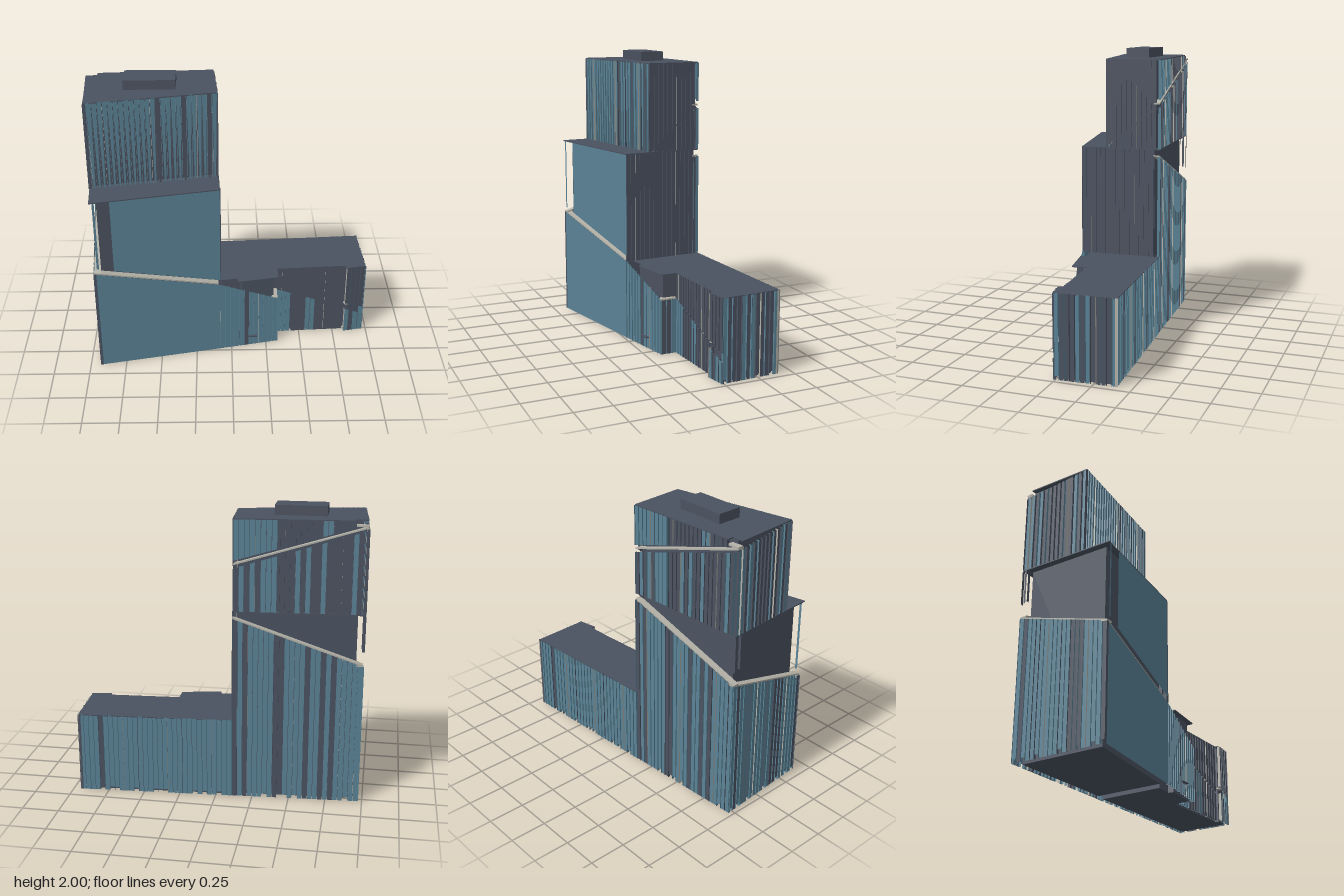
import * as THREE from 'three';

const mats = {
  dark: new THREE.MeshStandardMaterial({ color: 0x4b5260, flatShading: true, side: THREE.DoubleSide }),
  teal: new THREE.MeshStandardMaterial({ color: 0x5a8295, flatShading: true, side: THREE.DoubleSide }),
  light: new THREE.MeshStandardMaterial({ color: 0xb4b2a8, flatShading: true, side: THREE.DoubleSide }),
};

// Plan outlines as [x, z], running back left, back right, front right, front left
const tower = [[-0.97, -0.28], [-0.11, -0.332], [-0.08, 0.23], [-0.925, 0.4]];
const upper = [[-0.97, -0.28], [-0.115, -0.332], [-0.092, 0.05], [-0.935, 0.21]];
const podium = [[-0.11, -0.335], [0.945, -0.4], [0.965, 0.01], [0.83, 0.035], [0.82, 0.005],
  [0.33, 0.035], [0.33, 0.145], [0.05, 0.195], [0.04, 0.155], [-0.085, 0.175]];
const upperRoof = [[-0.89, -0.285], ...upper.slice(1), [-0.967, -0.245], [-0.89, -0.245]];

const mix = (a, b, t) => a + (b - a) * t;

function normal(a, b) {
  const dx = b[0] - a[0], dz = b[1] - a[1], l = Math.hypot(dx, dz);
  return [dz / l, -dx / l];
}

// Shrinks an outline by d with mitred corners
function inset(poly, d) {
  return poly.map((p, i) => {
    const m = normal(poly[(i + poly.length - 1) % poly.length], p);
    const n = normal(p, poly[(i + 1) % poly.length]);
    const k = d / (1 + m[0] * n[0] + m[1] * n[1]);
    return [p[0] - (m[0] + n[0]) * k, p[1] - (m[1] + n[1]) * k];
  });
}

// Solid with the given outline between two heights
function prism(name, poly, y0, y1) {
  const shape = new THREE.Shape(poly.map(([x, z]) => new THREE.Vector2(x, -z)));
  const geo = new THREE.ExtrudeGeometry(shape, { depth: y1 - y0, bevelEnabled: false });
  geo.rotateX(-Math.PI / 2).translate(0, y0, 0);
  const mesh = new THREE.Mesh(geo, mats.dark);
  mesh.name = name;
  return mesh;
}

function quadMesh(name, quads, mat) {
  const pos = [];
  for (const [a, b, c, d] of quads) pos.push(...a, ...b, ...c, ...a, ...c, ...d);
  const geo = new THREE.BufferGeometry();
  geo.setAttribute('position', new THREE.Float32BufferAttribute(pos, 3));
  geo.computeVertexNormals();
  const mesh = new THREE.Mesh(geo, mat);
  mesh.name = name;
  return mesh;
}

let seed = 7;
const rand = () => (seed = (seed * 16807) % 2147483647) / 2147483647;

// Facade from a to b: panels between sloping bottom and top lines, with upright fins.
// teal = share of coloured panels, fill = panel width share, taper = width left at the foot
function facade(name, a, b, bottom, top, o = {}) {
  const { teal = 0.75, fill = 0.9, taper = 1, fins = true, ragged = 0, from = 0, to = 1 } = o;
  const g = new THREE.Group();
  g.name = name;
  const n = normal(a, b);
  const at = (t, y, out = 0) => [mix(a[0], b[0], t) + n[0] * out, y, mix(a[1], b[1], t) + n[1] * out];
  const lo = t => mix(bottom[0], bottom[1], t), hi = t => mix(top[0], top[1], t);
  const count = Math.max(1, Math.round(Math.hypot(b[0] - a[0], b[1] - a[1]) * (to - from) / 0.034));
  const step = (to - from) / count, w = step * fill, f = w * taper;
  const panels = { teal: [], dark: [] }, blades = { teal: [], dark: [], light: [] };
  for (let i = 0; i <= count; i++) {
    const t = from + step * i, c = t + step / 2;
    if (fins) {
      const kind = i % 9 === 4 ? 'light' : rand() < teal ? 'teal' : 'dark';
      blades[kind].push([at(t, lo(t), -0.014), at(t, lo(t), 0.006), at(t, hi(t), 0.006), at(t, hi(t), -0.014)]);
    }
    if (i === count) break;
    const foot = rand() < 0.3 ? ragged : 0;
    panels[rand() < teal ? 'teal' : 'dark'].push([at(c - f / 2, lo(c - f / 2) + foot),
      at(c + f / 2, lo(c + f / 2) + foot), at(c + w / 2, hi(c + w / 2)), at(c - w / 2, hi(c - w / 2))]);
  }
  for (const k in panels) if (panels[k].length) g.add(quadMesh(name + 'Panels', panels[k], mats[k]));
  for (const k in blades) if (blades[k].length) g.add(quadMesh(name + 'Fins', blades[k], mats[k]));
  return g;
}

// Narrow pale ledge following a seam, tucked inside the facade line
function ledge(name, a, b, ya, yb) {
  const n = normal(a, b);
  const ring = (p, y) => [[-0.045, -0.005], [-0.002, -0.005], [-0.002, 0.005], [-0.045, 0.005]]
    .map(([o, h]) => [p[0] + n[0] * o, y + h, p[1] + n[1] * o]);
  const r = ring(a, ya), s = ring(b, yb);
  const quads = r.map((p, i) => [p, s[i], s[(i + 1) % 4], r[(i + 1) % 4]]);
  return quadMesh(name, [...quads, r, s], mats.light);
}

function box(name, size, position, mat) {
  const mesh = new THREE.Mesh(new THREE.BoxGeometry(...size), mat);
  mesh.name = name;
  mesh.position.set(...position);
  return mesh;
}

export function createModel() {
  const model = new THREE.Group();
  model.name = 'towerBlock';
  const [tBL, tBR, tFR, tFL] = tower;
  const [uBL, uBR, uFR, uFL] = upper;

  // Dark inner bodies, roof slabs and small boxes
  model.add(
    prism('lowerCore', inset(tower, 0.045), 0, 1.315),
    prism('terraceSlab', tower, 1.315, 1.322),
    prism('upperCore', inset(upper, 0.035), 1.322, 1.928),
    prism('upperRoof', upperRoof, 1.928, 1.935),
    prism('podiumCore', inset(podium, 0.03), 0, 0.553),
    prism('podiumRoof', podium, 0.553, 0.56),
    box('roofPlantBox', [0.34, 0.065, 0.17], [-0.53, 1.9675, -0.085], mats.dark),
    box('cornerLedge', [0.08, 0.012, 0.04], [-0.93, 1.9, -0.265], mats.light),
    box('entranceCanopy', [0.07, 0.008, 0.03], [0.15, 0.08, 0.185], mats.dark),
  );

  // Lower tower facades, cut off by a sloping seam
  const smooth = { teal: 1, fill: 1, fins: false };
  model.add(
    facade('lowerFront', tFR, tFL, [0, 0], [0.56, 0.77], smooth),
    facade('lowerBack', tBL, tBR, [0, 0], [0.97, 1.27], { teal: 0.85, ragged: 0.025 }),
    facade('lowerLeftSide', tFL, tBL, [0, 0], [0.77, 0.97], { teal: 0.8, ragged: 0.025 }),
    ledge('frontLedge', tFR, tFL, 0.565, 0.775),
    ledge('backLedge', tBL, tBR, 0.975, 1.275),
    ledge('sideLedge', tFL, tBL, 0.775, 0.975),
  );

  // Middle facades above the seam
  const wall = { teal: 0, fill: 1, from: 0.07 };
  model.add(
    facade('middleFront', tFR, tFL, [0.6, 0.815], [1.315, 1.315], { ...smooth, to: 0.845 }),
    facade('middleFrontEdge', tFR, tFL, [0.6, 0.815], [1.315, 1.315], { ...smooth, fill: 0.5, from: 0.95, to: 0.985 }),
    facade('middleRightSide', tBR, tFR, [0.56, 0.56], [1.315, 1.315], wall),
    facade('middleCornerFins', tFL, tBL, [1.2, 1.07], [1.315, 1.315], { teal: 0.6, fill: 0.3, from: 0.93 }),
  );

  // Upper facades, split by a second seam at the back and right
  model.add(
    facade('upperFront', uFR, uFL, [1.322, 1.322], [1.935, 1.935], { teal: 0.8, taper: 0.35, to: 0.98 }),
    facade('upperLeftSide', uFL, uBL, [1.322, 1.322], [1.928, 1.88], { teal: 0.5, fill: 0.6 }),
    facade('upperBackNear', uBL, uBR, [1.322, 1.322], [1.87, 1.61], { teal: 0.2, from: 0.03, to: 0.65 }),
    facade('upperBackFar', uBL, uBR, [1.322, 1.322], [1.87, 1.61], { teal: 0.8, from: 0.67 }),
    facade('upperBackTopNear', uBL, uBR, [1.91, 1.66], [1.93, 1.93], { teal: 0.2, from: 0.1, to: 0.65 }),
    facade('upperBackTopFar', uBL, uBR, [1.91, 1.66], [1.93, 1.93], { teal: 0.8, from: 0.67 }),
    facade('upperRightSide', uBR, uFR, [1.322, 1.322], [1.62, 1.322], { ...wall, to: 0.9 }),
    facade('upperRightTop', uBR, uFR, [1.64, 1.33], [1.93, 1.93], wall),
    ledge('upperBackLedge', uBL, uBR, 1.89, 1.635),
  );

  // Podium facades, stepping down along the front
  const p = podium;
  model.add(
    facade('podiumBack', p[0], p[1], [0, 0], [0.56, 0.56], { teal: 0.85, ragged: 0.025 }),
    facade('podiumRightSide', p[1], p[2], [0, 0], [0.56, 0.56], { teal: 0.3, fill: 0.7, ragged: 0.025 }),
    facade('podiumBump', p[2], p[3], [0, 0], [0.14, 0.2], { teal: 0.3 }),
    facade('podiumBumpTop', p[2], p[3], [0.2, 0.25], [0.56, 0.56], { teal: 0.1 }),
    facade('podiumFrontFar', p[4], p[5], [0, 0], [0.2, 0.38], { teal: 0.05, to: 0.78 }),
    facade('podiumFrontMiddle', p[4], p[5], [0, 0], [0.2, 0.38], { teal: 0.8, from: 0.8 }),
    facade('podiumFrontFarTop', p[4], p[5], [0.21, 0.39], [0.56, 0.56], { teal: 0, fill: 1 }),
    facade('podiumStep', p[5], p[6], [0, 0], [0.38, 0.38], { teal: 0.4 }),
    facade('podiumFrontNear', p[6], tFR, [0, 0], [0.38, 0.56], { teal: 0.95 }),
    ledge('stepLedge', p[5], p[6], 0.385, 0.385),
    ledge('bumpLedge', p[3], p[4], 0.24, 0.24),
  );
  return model;
}
